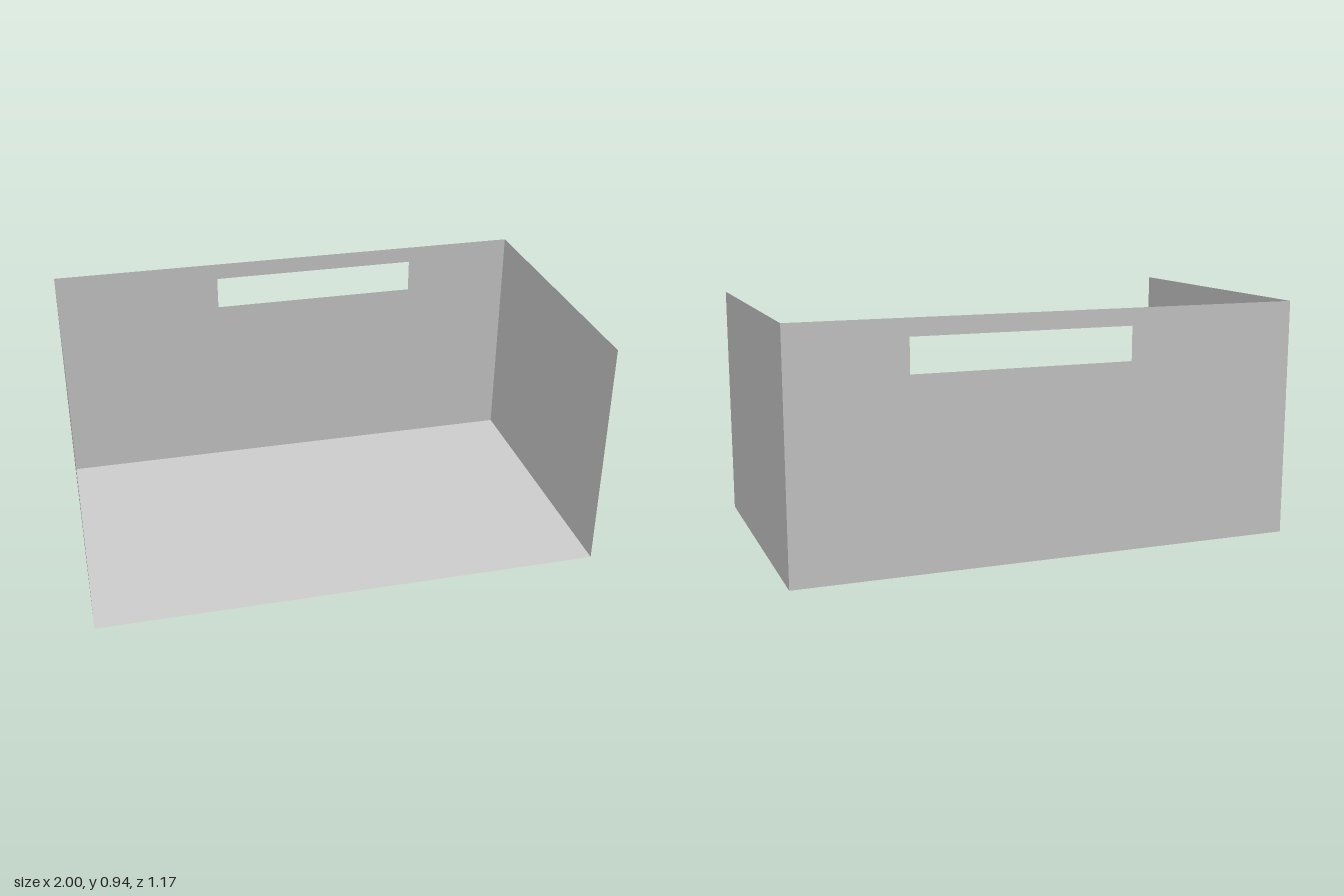
import * as THREE from 'three';

const HALF_W = 1, HALF_D = 0.584, HEIGHT = 0.935;

const material = new THREE.MeshStandardMaterial({
  color: 0xcccccc, flatShading: true, side: THREE.DoubleSide,
});

// Flat sheet from an outline, with optional rectangular hole [x0, y0, x1, y1]
function panel(name, outline, hole) {
  const toPoints = (list) => list.map(([x, y]) => new THREE.Vector2(x, y));
  const shape = new THREE.Shape(toPoints(outline));
  if (hole) {
    const [x0, y0, x1, y1] = hole;
    shape.holes.push(new THREE.Path(toPoints([[x0, y0], [x0, y1], [x1, y1], [x1, y0]])));
  }
  const mesh = new THREE.Mesh(new THREE.ShapeGeometry(shape), material);
  mesh.name = name;
  return mesh;
}

const rect = (w, y0, y1) => [[-w, y0], [w, y0], [w, y1], [-w, y1]];

export function createModel() {
  const room = new THREE.Group();
  room.name = 'openRoom';

  // Floor
  const floor = panel('floor', rect(HALF_W, -HALF_D, HALF_D));
  floor.rotation.x = -Math.PI / 2;

  // Back wall with a long high window
  const backWall = panel('backWall', rect(HALF_W, 0, HEIGHT), [-0.313, 0.735, 0.551, 0.868]);
  backWall.position.z = -HALF_D;

  // Solid left wall
  const leftWall = panel('leftWall', rect(HALF_D, 0, HEIGHT));
  leftWall.rotation.y = Math.PI / 2;
  leftWall.position.x = HALF_W;

  // Right wall with a doorway reaching the floor (outline x runs along z)
  const doorBack = -0.197, doorFront = 0.126, doorTop = 0.612;
  const rightWall = panel('rightWallWithDoorway', [
    [-HALF_D, 0], [doorBack, 0], [doorBack, doorTop], [doorFront, doorTop],
    [doorFront, 0], [HALF_D, 0], [HALF_D, HEIGHT], [-HALF_D, HEIGHT],
  ]);
  rightWall.rotation.y = -Math.PI / 2;
  rightWall.position.x = -HALF_W;

  room.add(floor, backWall, leftWall, rightWall);
  return room;
}
